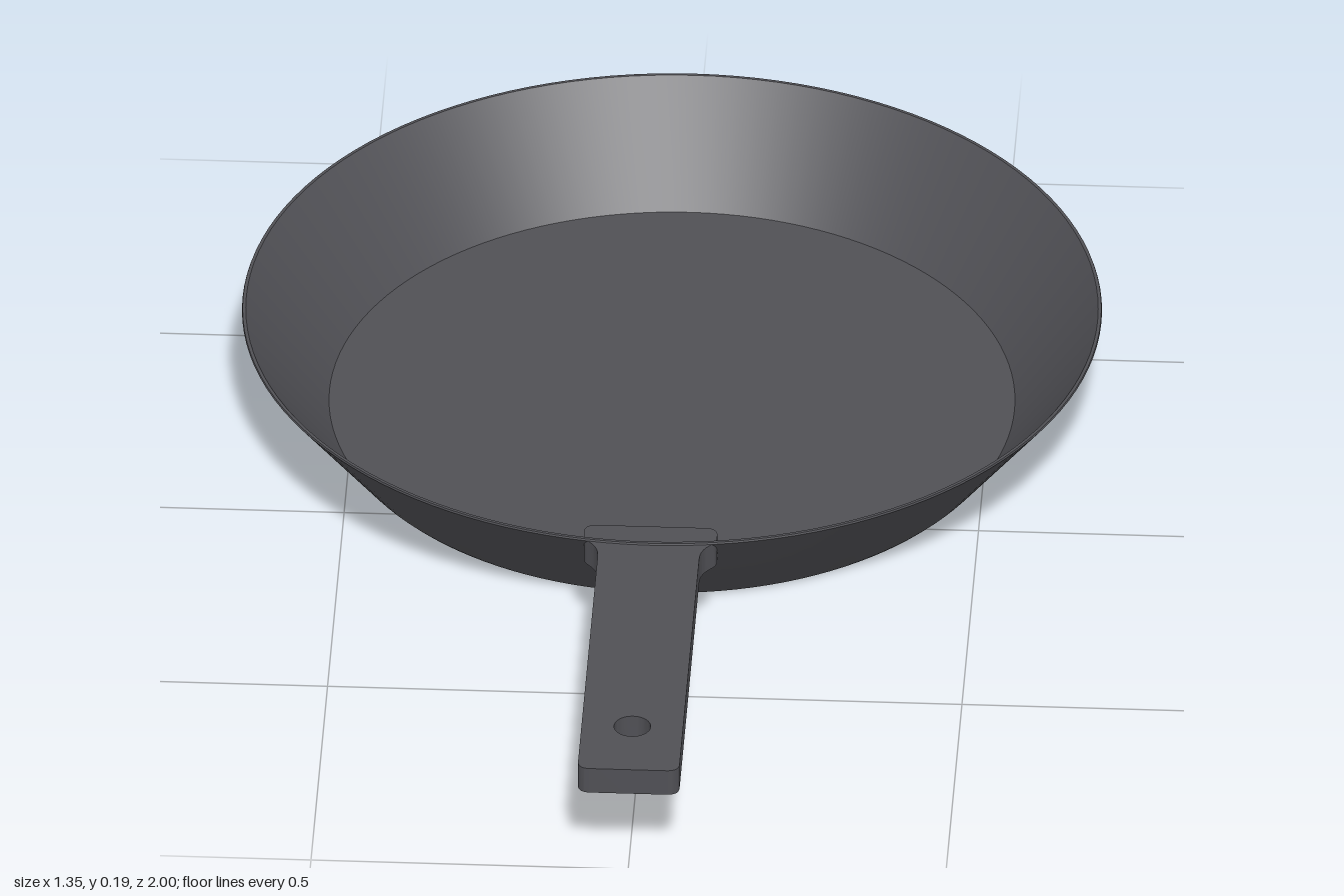
import * as THREE from 'three';
import { toCreasedNormals } from 'three/addons/utils/BufferGeometryUtils.js';

export function createModel() {
  const group = new THREE.Group();
  group.name = 'fryingPan';
  const iron = new THREE.MeshStandardMaterial({ color: 0x505055 });
  iron.name = 'darkIron';

  const add = (name, geometry) => {
    const mesh = new THREE.Mesh(toCreasedNormals(geometry, 0.45), iron);
    mesh.name = name;
    group.add(mesh);
    return mesh;
  };

  // Pan body: outer wall up to the thin rim, then down the inside to the floor
  const profile = [
    [0, 0], [0.522, 0], [0.53, 0.002], [0.536, 0.008], [0.677, 0.187], [0.676, 0.19],
    [0.671, 0.19], [0.54, 0.018], [0, 0.018],
  ].map(([r, y]) => new THREE.Vector2(r, y));
  add('panBody', new THREE.LatheGeometry(profile, 128)).position.z = -0.323;

  // Handle: flat bar, flared where it passes through the pan wall (shape y becomes z)
  const w = 0.08, flare = 0.105, start = 0.3, end = 1, r = 0.02;
  const outline = new THREE.Shape();
  outline.moveTo(-flare + r, start);
  outline.lineTo(flare - r, start);
  outline.quadraticCurveTo(flare, start, flare, start + r);
  outline.lineTo(flare, 0.33);
  outline.bezierCurveTo(flare, 0.35, w, 0.35, w, 0.39);
  outline.lineTo(w, end - r);
  outline.quadraticCurveTo(w, end, w - r, end);
  outline.lineTo(-w + r, end);
  outline.quadraticCurveTo(-w, end, -w, end - r);
  outline.lineTo(-w, 0.39);
  outline.bezierCurveTo(-w, 0.35, -flare, 0.35, -flare, 0.33);
  outline.lineTo(-flare, start + r);
  outline.quadraticCurveTo(-flare, start, -flare + r, start);

  // Hanging hole
  const hole = new THREE.Path();
  hole.absarc(0, 0.875, 0.029, 0, Math.PI * 2, true);
  outline.holes.push(hole);

  const bar = new THREE.ExtrudeGeometry(outline, { depth: 0.045, bevelEnabled: false, curveSegments: 16 });
  bar.rotateX(Math.PI / 2);
  add('handle', bar).position.y = 0.187;

  return group;
}
